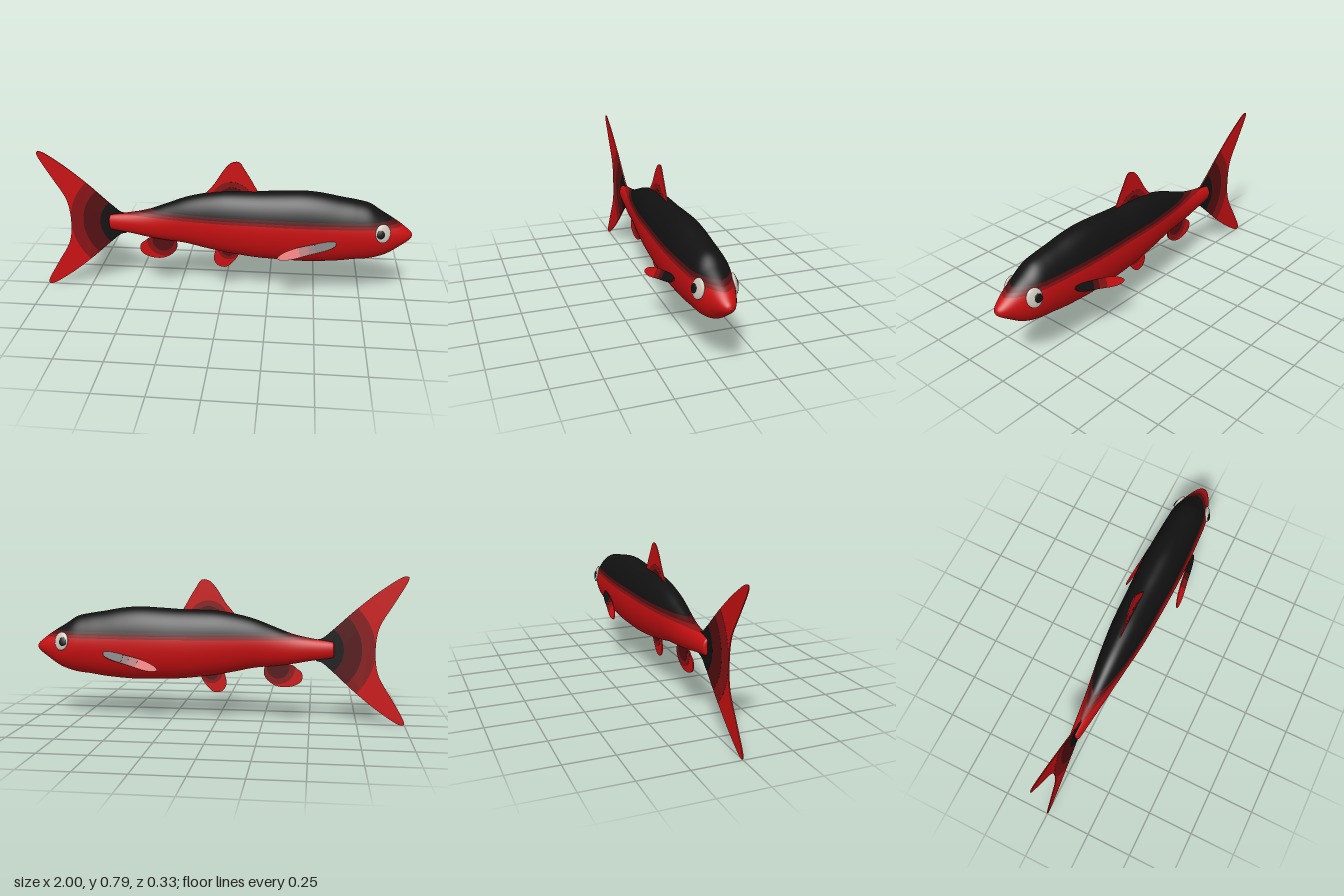
import * as THREE from 'three';

const material = (name, color) => {
  const m = new THREE.MeshStandardMaterial({ color });
  m.name = name;
  return m;
};

export function createModel() {
  const red = material('red', 0xc81012);
  const midRed = material('mid red', 0x861214);
  const darkRed = material('dark red', 0x520e10);
  const black = material('black', 0x111111);
  const eyeWhite = material('eye white', 0xccc6bb);

  const fish = new THREE.Group();
  fish.name = 'fish';
  const add = (parent, name, geometry, mat) => {
    const mesh = new THREE.Mesh(geometry, mat);
    mesh.name = name;
    parent.add(mesh);
    return mesh;
  };

  // Body stations: x, top, bottom, half width
  const stations = [
    [-0.624, 0.402, 0.398, 0.002], [-0.621, 0.436, 0.364, 0.022], [-0.6, 0.446, 0.354, 0.028],
    [-0.5, 0.461, 0.339, 0.04], [-0.4, 0.484, 0.32, 0.052], [-0.3, 0.522, 0.307, 0.065],
    [-0.2, 0.56, 0.296, 0.078], [-0.1, 0.585, 0.274, 0.09], [0, 0.601, 0.255, 0.1],
    [0.1, 0.605, 0.24, 0.105], [0.2, 0.607, 0.229, 0.109], [0.3, 0.613, 0.225, 0.113],
    [0.42, 0.618, 0.221, 0.115], [0.52, 0.61, 0.225, 0.114], [0.62, 0.592, 0.234, 0.111],
    [0.7, 0.579, 0.246, 0.107], [0.77, 0.562, 0.254, 0.102], [0.83, 0.524, 0.27, 0.092],
    [0.88, 0.494, 0.292, 0.077], [0.93, 0.462, 0.327, 0.058], [0.97, 0.431, 0.356, 0.038],
    [0.992, 0.412, 0.375, 0.02], [1, 0.396, 0.392, 0.002],
  ];
  const spine = new THREE.CatmullRomCurve3(
    stations.map(([x, top, bottom]) => new THREE.Vector3(x, top, bottom)), false, 'catmullrom');
  const girth = new THREE.CatmullRomCurve3(
    stations.map(([x, , , w]) => new THREE.Vector3(x, w, 0)), false, 'catmullrom');
  const section = (t) => {
    const k = Math.min(1, Math.max(0, t));
    const s = spine.getPoint(k);
    return { x: s.x, c: (s.y + s.z) / 2, r: (s.y - s.z) / 2, w: girth.getPoint(k).y };
  };
  const skin = (t, a) => {
    const s = section(t);
    return new THREE.Vector3(s.x, s.c + s.r * Math.sin(a), s.w * Math.cos(a));
  };
  const skinNormal = (t, a) => {
    const e = 0.002;
    const along = skin(t + e, a).sub(skin(t - e, a));
    const around = skin(t, a + e).sub(skin(t, a - e));
    return along.cross(around).normalize();
  };

  // One colour band of the left flank, between two heights
  function flankBand(low, high, steps) {
    const rows = 150, pos = [], nor = [], index = [];
    for (let i = 0; i <= rows; i++) {
      const t = i / rows, s = section(t);
      const angle = (y) => Math.asin(Math.min(1, Math.max(-1, (y - s.c) / s.r)));
      const a0 = angle(low), a1 = angle(high);
      for (let j = 0; j <= steps; j++) {
        const a = a0 + (a1 - a0) * j / steps;
        pos.push(...skin(t, a).toArray());
        nor.push(...skinNormal(t, a).toArray());
        if (i < rows && j < steps) {
          const p = i * (steps + 1) + j, q = p + steps + 1;
          index.push(p, q, p + 1, q, q + 1, p + 1);
        }
      }
    }
    const g = new THREE.BufferGeometry();
    g.setAttribute('position', new THREE.Float32BufferAttribute(pos, 3));
    g.setAttribute('normal', new THREE.Float32BufferAttribute(nor, 3));
    g.setIndex(index);
    return g;
  }

  // Flat fin: a full plate, plus slightly thicker plates clipped to discs around its root
  function fin(parent, name, outline, root, bands) {
    const group = new THREE.Group();
    group.name = name;
    parent.add(group);
    const curve = new THREE.CatmullRomCurve3(
      outline.map(([x, y]) => new THREE.Vector3(x, y, 0)), true, 'centripetal');
    const points = curve.getPoints(120).slice(0, -1);
    [[Infinity, red], ...bands].forEach(([radius, mat], i) => {
      const shape = new THREE.Shape(points.map((p) => {
        const dx = p.x - root[0], dy = p.y - root[1];
        const k = Math.min(1, radius / Math.hypot(dx, dy));
        return new THREE.Vector2(root[0] + dx * k, root[1] + dy * k);
      }));
      const depth = 0.005 + i * 0.0012;
      const g = new THREE.ExtrudeGeometry(shape, { depth, bevelEnabled: false });
      g.translate(0, 0, -depth / 2);
      add(group, `${name} ${mat.name}`, g, mat);
    });
    return group;
  }

  // Tail fin, mirrored about its middle line
  const tailHalf = [[-0.53, 0.45], [-0.56, 0.46], [-0.62, 0.51], [-0.74, 0.62], [-0.875, 0.727],
    [-0.98, 0.79], [-0.998, 0.786], [-0.995, 0.765], [-0.93, 0.65], [-0.86, 0.53], [-0.842, 0.45]];
  const tailMid = 0.396;
  const tail = [...tailHalf, ...tailHalf.map(([x, y]) => [x, 2 * tailMid - y]).reverse()];
  fin(fish, 'tailFin', tail, [-0.53, tailMid], [[0.31, midRed], [0.24, darkRed], [0.145, black]]);

  fin(fish, 'dorsalFin',
    [[-0.1, 0.565], [-0.045, 0.645], [0.01, 0.73], [0.045, 0.762], [0.082, 0.765],
      [0.115, 0.72], [0.16, 0.645], [0.185, 0.59], [0.16, 0.54], [-0.05, 0.54]],
    [0.045, 0.545], [[0.11, midRed], [0.08, darkRed]]);

  fin(fish, 'analFin',
    [[-0.4, 0.315], [-0.43, 0.295], [-0.457, 0.27], [-0.455, 0.228], [-0.41, 0.2],
      [-0.34, 0.195], [-0.285, 0.22], [-0.255, 0.262], [-0.27, 0.32]],
    [-0.33, 0.3], [[0.09, midRed], [0.06, darkRed]]);

  fin(fish, 'pelvicFin',
    [[-0.03, 0.275], [-0.047, 0.24], [-0.05, 0.195], [-0.03, 0.165], [0.013, 0.157],
      [0.052, 0.188], [0.085, 0.245], [0.06, 0.28]],
    [0.03, 0.265], [[0.06, midRed], [0.04, darkRed]]);

  // Pectoral outline, measured from its hinge line along the flank
  const pectoral = [[0.6, 0.0], [0.585, 0.006], [0.49, -0.01], [0.37, -0.04], [0.31, -0.07],
    [0.298, -0.086], [0.31, -0.092], [0.36, -0.09], [0.46, -0.063], [0.565, -0.033], [0.597, -0.015]];

  // Each flank carries half the body, an eye and a pectoral fin
  for (const [sideName, sign] of [['left', -1], ['right', 1]]) {
    const half = new THREE.Group();
    half.name = `${sideName}Half`;
    half.scale.z = sign;
    fish.add(half);

    add(half, 'belly', flankBand(-1, 0.452, 20), red);
    add(half, 'lowerStripe', flankBand(0.452, 0.468, 2), midRed);
    add(half, 'upperStripe', flankBand(0.468, 0.487, 2), darkRed);
    add(half, 'back', flankBand(0.487, 2, 14), black);

    const eye = new THREE.Group();
    eye.name = 'eye';
    const t = 17.15 / (stations.length - 1), a = 0.3;
    const normal = skinNormal(t, a);
    eye.position.copy(skin(t, a)).addScaledVector(normal, 0.001);
    eye.quaternion.setFromUnitVectors(new THREE.Vector3(0, 0, 1), normal);
    half.add(eye);
    const ball = new THREE.SphereGeometry(1, 28, 18);
    add(eye, 'eyeball', ball, eyeWhite).scale.set(0.041, 0.05, 0.014);
    const pupil = add(eye, 'pupil', ball, black);
    pupil.scale.set(0.021, 0.023, 0.005);
    pupil.position.set(-0.016, -0.004, 0.0115);
    pupil.rotation.y = -0.14;

    const fan = fin(half, 'pectoralFin', pectoral.map(([x, y]) => [x, y * 1.1]),
      [0.585, -0.012], [[0.18, midRed], [0.13, darkRed], [0.095, black]]);
    fan.position.set(0, 0.378, 0.11);
    fan.rotation.x = -0.535;
  }
  return fish;
}
